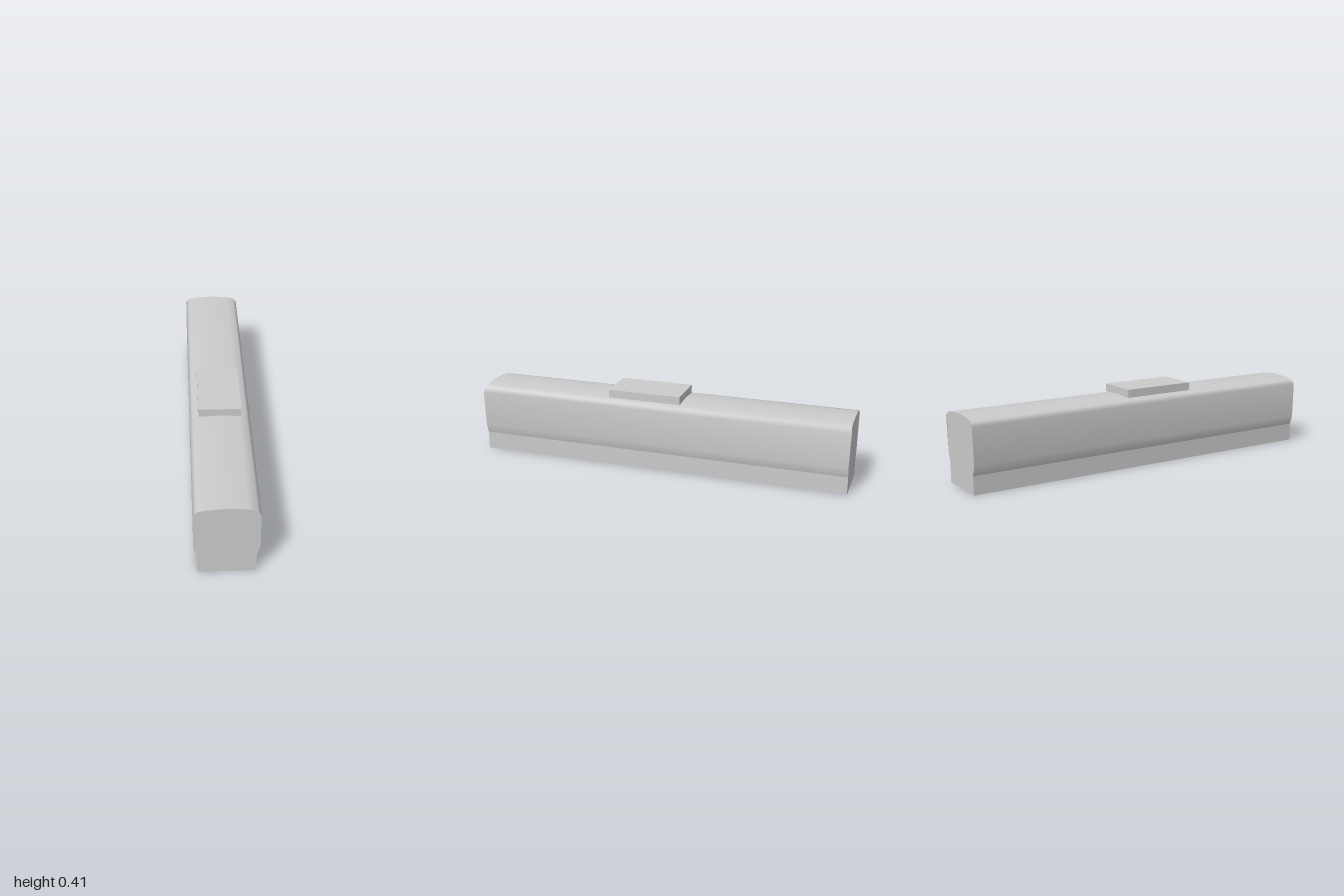
import * as THREE from 'three';

const END = 0.996; // half length of the shell; the shoulder lip reaches 1

// Half cross-section of the +x side, from bottom edge to roof ridge
const half = [
  [0.136, 0], [0.136, 0.095], [0.152, 0.147], [0.152, 0.333],
  [0.136, 0.355], [0.094, 0.365], [0, 0.372],
];
const profile = [...half, ...half.slice(0, -1).reverse().map(([x, y]) => [-x, y])];
const endZ = (y) => (y === 0.333 ? 1 : END);

const material = new THREE.MeshStandardMaterial({ color: 0xcccccc, side: THREE.DoubleSide });

// Lengthwise skin over a run of profile points, smooth within the run
function skin(points, name) {
  const positions = [], index = [];
  points.forEach(([x, y], i) => {
    positions.push(x, y, endZ(y), x, y, -endZ(y));
    if (i < points.length - 1) {
      const a = 2 * i;
      index.push(a, a + 1, a + 2, a + 1, a + 3, a + 2);
    }
  });
  const geometry = new THREE.BufferGeometry();
  geometry.setAttribute('position', new THREE.Float32BufferAttribute(positions, 3));
  geometry.setIndex(index);
  geometry.computeVertexNormals();
  return named(geometry, name);
}

// Flat end wall with the cross-section outline
function endWall(name) {
  const shape = new THREE.Shape(profile.map(([x, y]) => new THREE.Vector2(x, y)));
  return named(new THREE.ShapeGeometry(shape), name);
}

function named(geometry, name) {
  const mesh = new THREE.Mesh(geometry, material);
  mesh.name = name;
  return mesh;
}

export function createModel() {
  const group = new THREE.Group();
  group.name = 'carriageBody';

  // Open-bottomed shell: two skirts and the rounded walls with the roof
  const n = profile.length;
  group.add(skin(profile.slice(0, 2), 'leftSkirt'));
  group.add(skin(profile.slice(1, n - 1), 'wallsAndRoof'));
  group.add(skin(profile.slice(n - 2), 'rightSkirt'));

  // End walls
  const front = endWall('frontWall');
  front.position.z = END;
  const back = endWall('backWall');
  back.position.z = -END;
  back.rotation.y = Math.PI;
  group.add(front, back);

  // Flat box on the roof
  const roofBox = named(new THREE.BoxGeometry(0.216, 0.042, 0.39), 'roofBox');
  roofBox.position.set(0, 0.387, 0.085);
  group.add(roofBox);

  return group;
}
